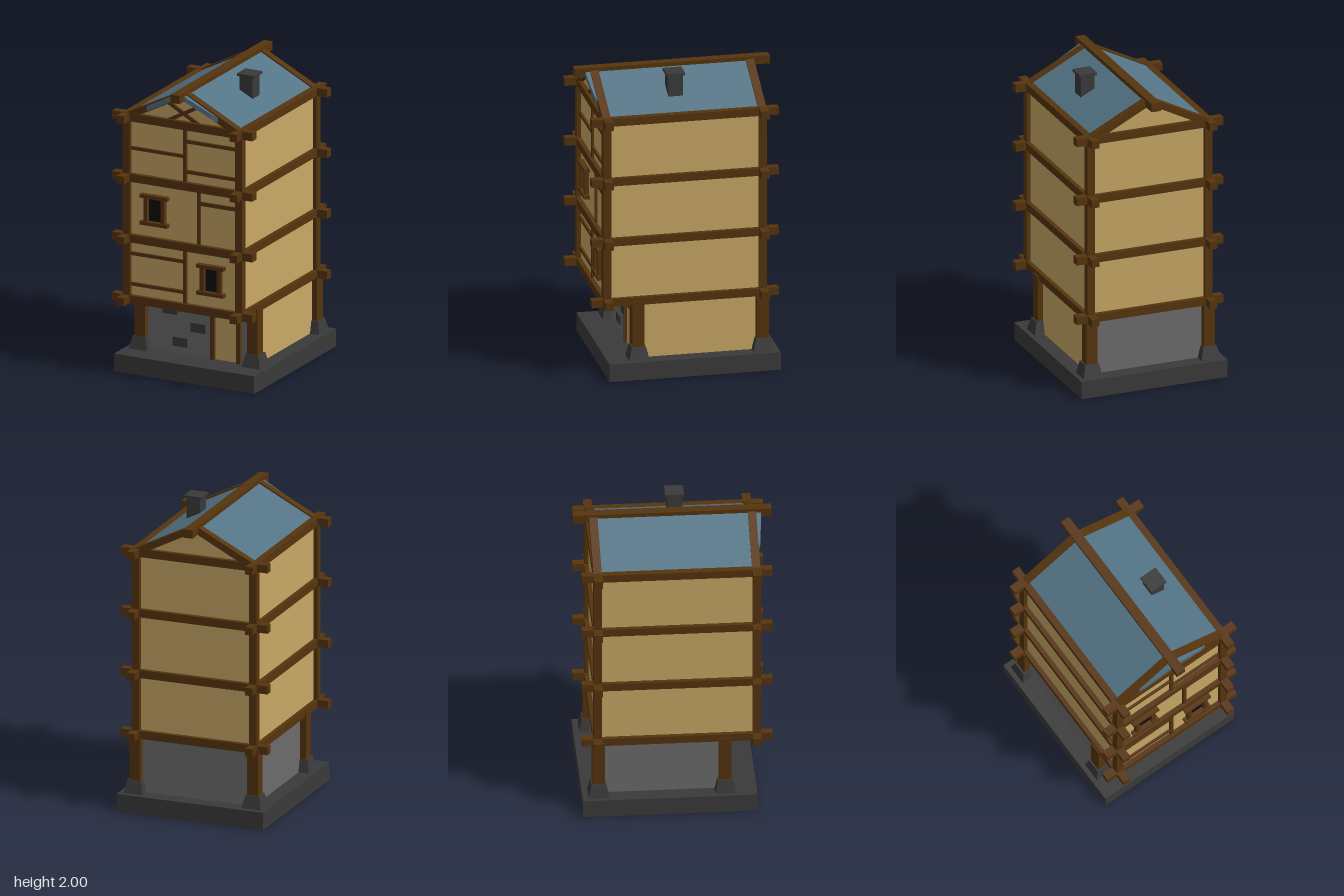
import * as THREE from 'three';

const mat = (name, color) => Object.assign(new THREE.MeshStandardMaterial({ color }), { name });

export function createModel() {
  const model = new THREE.Group();
  model.name = 'timberHouse';
  const wood = mat('darkTimber', 0x56340e);
  const plaster = mat('ochrePlaster', 0xc8a866);
  const slate = mat('blueRoof', 0x537486);
  const darkStone = mat('darkStone', 0x3a3a3a);
  const stone = mat('greyStone', 0x6c6c6c);
  const black = mat('windowBlack', 0x0b0b0c);

  const add = (name, geometry, material, parent = model) => {
    const m = new THREE.Mesh(geometry, material);
    m.name = name;
    parent.add(m);
    return m;
  };
  // Box given by its limits on each axis
  const box = (name, material, x0, x1, y0, y1, z0, z1, parent) => {
    const m = add(name, new THREE.BoxGeometry(x1 - x0, y1 - y0, z1 - z0), material, parent);
    m.position.set((x0 + x1) / 2, (y0 + y1) / 2, (z0 + z1) / 2);
    return m;
  };
  const polygon = pts => new THREE.Shape(pts.map(p => new THREE.Vector2(...p)));
  const prism = (pts, z0, z1) => new THREE.ExtrudeGeometry(polygon(pts),
    { depth: z1 - z0, bevelEnabled: false }).translate(0, 0, z0);

  // Base and bodies
  box('base', darkStone, -0.51, 0.51, 0, 0.12, -0.615, 0.515);
  box('groundFloorWalls', stone, -0.405, 0.405, 0.12, 0.51, -0.51, 0.31);
  box('groundSidePlaster', plaster, 0.405, 0.411, 0.12, 0.51, -0.51, 0.31);
  box('upperWalls', plaster, -0.41, 0.41, 0.505, 1.75, -0.512, 0.512);
  add('gableWalls', prism([[-0.36, 1.75], [0.36, 1.75], [0, 1.938]], -0.512, 0.512), plaster);

  // Ground posts on tapered stone feet
  for (const s of [-1, 1]) for (const z of [0.31, -0.51]) {
    box('groundPost', wood, s * 0.41 - 0.038, s * 0.41 + 0.038, 0.2, 0.515, z - 0.04, z + 0.04);
    const foot = new THREE.CylinderGeometry(0.047 * Math.SQRT2, 0.067 * Math.SQRT2, 0.085, 4)
      .toNonIndexed().rotateY(Math.PI / 4);
    foot.computeVertexNormals();
    add('postFoot', foot, darkStone).position.set(s * 0.412, 0.1625, z);
  }

  // Corner posts and storey beams
  for (const s of [-1, 1]) for (const t of [-1, 1])
    box('cornerPost', wood, s * 0.41 - 0.026, s * 0.41 + 0.026, 0.5, 1.77,
      t * 0.514 - 0.026, t * 0.514 + 0.026);
  for (const y of [0.515, 0.928, 1.34, 1.75]) for (const s of [-1, 1]) {
    box('crossBeam', wood, -0.512, 0.512, y - 0.027, y + 0.027, s * 0.514 - 0.028, s * 0.514 + 0.028);
    box('sideBeam', wood, s * 0.412 - 0.027, s * 0.412 + 0.027, y - 0.026, y + 0.026, -0.617, 0.617);
  }

  // Front studs and rails: x0, x1, y0, y1
  for (const [x0, x1, y0, y1] of [
    [-0.003, 0.022, 0.54, 0.905], [-0.39, 0, 0.812, 0.834], [-0.39, 0, 0.605, 0.627],
    [0.1, 0.123, 0.95, 1.315], [0.12, 0.39, 1.222, 1.247],
    [-0.003, 0.022, 1.36, 1.725], [-0.39, 0, 1.527, 1.549],
    [0.02, 0.39, 1.63, 1.653], [0.02, 0.39, 1.425, 1.448],
  ]) box('frontTimber', wood, x0, x1, y0, y1, 0.505, 0.527);

  // Framed windows
  for (const [cx, cy] of [[-0.207, 1.14], [0.204, 0.728]]) {
    const w = new THREE.Group();
    w.name = 'window';
    w.position.set(cx, cy, 0.512);
    model.add(w);
    box('windowPane', black, -0.055, 0.055, -0.085, 0.085, 0, 0.005, w);
    for (const s of [-1, 1]) {
      box('windowJamb', wood, s * 0.062 - 0.014, s * 0.062 + 0.014, -0.085, 0.1, 0, 0.03, w);
      box('windowRail', wood, -0.1, 0.1, s * 0.091 - 0.012, s * 0.091 + 0.012, 0, 0.038, w);
    }
  }

  // Door with frame
  box('doorPanel', plaster, 0.11, 0.3, 0.12, 0.43, 0.308, 0.315);
  for (const x of [0.108, 0.298])
    box('doorJamb', wood, x - 0.014, x + 0.014, 0.12, 0.457, 0.3, 0.335);
  box('doorLintel', wood, 0.08, 0.32, 0.418, 0.448, 0.3, 0.345);

  // Raised stones on the ground wall
  for (const [x, y] of [[-0.207, 0.41], [-0.003, 0.312], [-0.135, 0.198]])
    box('wallStone', darkStone, x - 0.053, x + 0.053, y - 0.03, y + 0.03, 0.3, 0.322);

  // Crossed gable braces
  for (const s of [-1, 1]) {
    const brace = add('gableBrace', new THREE.BoxGeometry(0.27, 0.024, 0.02), wood);
    brace.position.set(s * 0.008, 1.832, 0.516);
    brace.rotation.z = s * 0.5;
  }

  // Roof: rafters at both ends and one slab per slope, bowed forward at the front
  const slope = 0.512;
  for (const s of [-1, 1]) {
    for (const t of [-1, 1])
      add('rafter', prism([[0, 1.987], [s * 0.43, 1.767], [s * 0.33, 1.767], [0, 1.936]],
        t * 0.513 - 0.027, t * 0.513 + 0.027), wood);
    const outline = [[0, 0.5], [0.41, 0.5], [0.41, -0.5], [0.27, -0.5], [0.26, -0.541],
      [0.22, -0.553], [0, -0.576]].map(([x, y]) => [s * x, y]);
    const slab = prism(outline, 0, 0.034).rotateX(-Math.PI / 2);
    const p = slab.attributes.position;
    for (let i = 0; i < p.count; i++)
      p.setY(i, p.getY(i) + 1.943 - slope * Math.abs(p.getX(i)));
    slab.computeVertexNormals();
    add('roofSlope', slab, slate);
  }
  box('ridgeBeam', wood, -0.032, 0.032, 1.93, 1.987, -0.645, 0.64);

  // Chimney
  box('chimneyStack', darkStone, 0.172, 0.268, 1.8, 1.985, -0.02, 0.076);
  box('chimneyCap', darkStone, 0.159, 0.281, 1.983, 2, -0.033, 0.089);
  return model;
}
